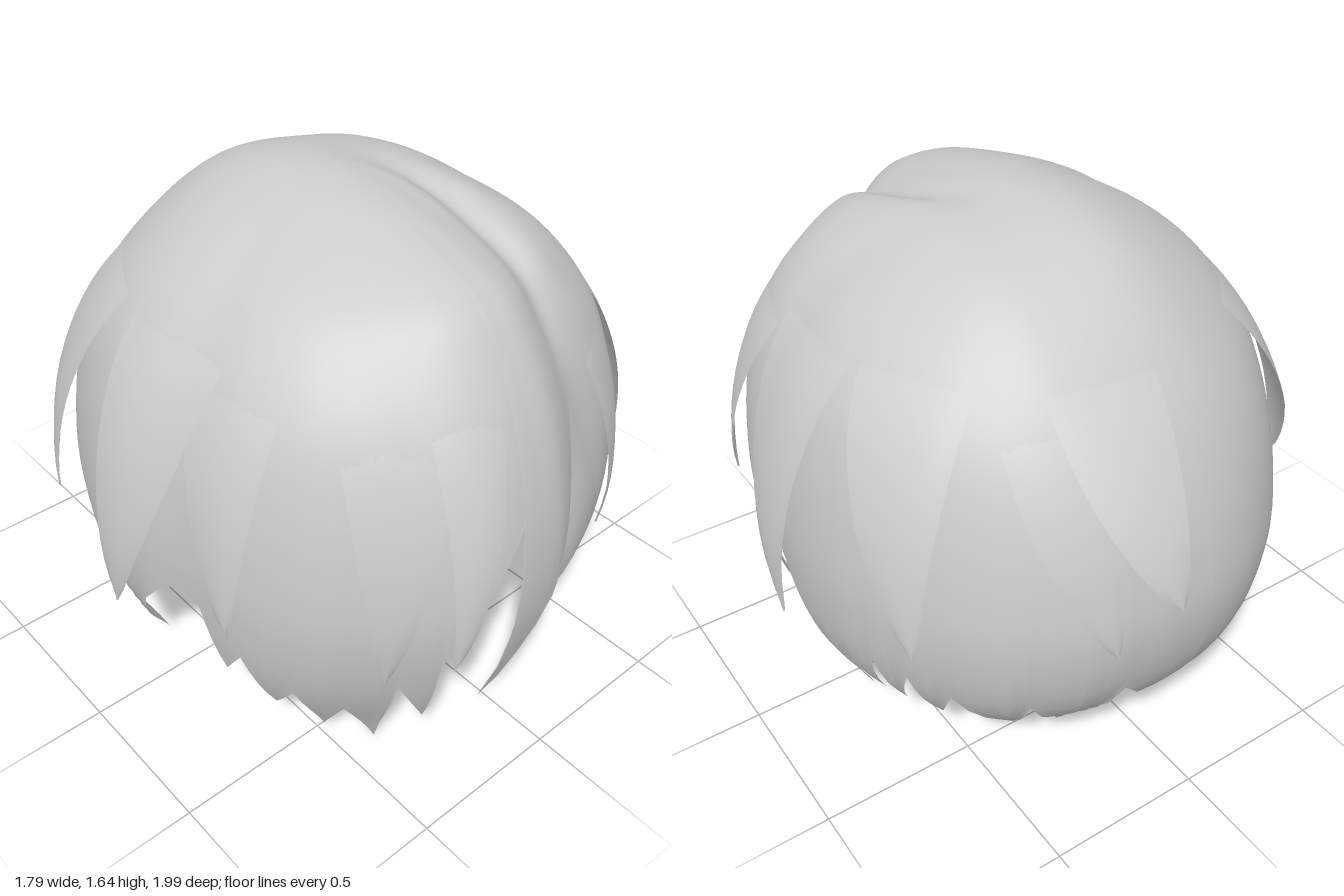
import * as THREE from 'three';

const TOP = 1.62;
const mat = new THREE.MeshStandardMaterial({ color: 0xcccccc, side: THREE.DoubleSide });
const curve = (v) => new THREE.SplineCurve(v.map((r, i) => new THREE.Vector2(i, r)));

// Dome: relative radius from crown (q = 0) down to y = 0 (q = 1)
const frontProfile = curve([0, 0.21, 0.44, 0.68, 0.8, 0.895, 0.96, 1, 1, 0.93, 0.81]);
const sideProfile = curve([0, 0.23, 0.43, 0.61, 0.765, 0.88, 0.95, 0.99, 1, 0.95, 0.77]);
const backProfile = curve([0, 0.22, 0.4, 0.55, 0.69, 0.82, 0.915, 0.98, 1, 0.91, 0.63]);
// Largest radius every 15 degrees, from the front (+z) towards the left (+x)
const outline = curve([0.96, 0.87, 0.89, 0.9, 0.86, 0.81, 0.81, 0.82, 0.84, 0.88, 0.91, 0.92, 0.92,
  0.92, 0.9, 0.87, 0.84, 0.82, 0.81, 0.805, 0.86, 0.91, 0.94, 0.98, 0.96]);

const toQ = (y) => Math.sqrt(Math.max(0, (TOP - y) / TOP));

// Point on the head of hair at azimuth (degrees), depth q, pushed outwards by lift
function surface(az, q, lift = 0) {
  const a = THREE.MathUtils.degToRad(az), c = Math.cos(a);
  const end = (c > 0 ? frontProfile : backProfile).getPoint(q).y;
  const rel = THREE.MathUtils.lerp(sideProfile.getPoint(q).y, end, c * c);
  const turn = (((az % 360) + 360) % 360) / 360;
  const r = rel * outline.getPoint(turn).y + lift;
  const p = new THREE.Vector3(r * Math.sin(a), TOP * (1 - q * q), r * c);
  // swell beside the parting, and the parting groove itself
  const high = THREE.MathUtils.smoothstep(p.y, 1.1, 1.55);
  p.y += 0.035 * high * Math.exp(-(((p.x + 0.08) / 0.22) ** 2));
  p.y += 0.015 * high * Math.exp(-(((p.x - 0.3) / 0.12) ** 2)) + lift * 0.4 * high;
  const along = THREE.MathUtils.smoothstep(p.z, -0.1, 0.3);
  const part = 0.13 + 0.06 * along;
  p.y -= 0.035 * high * along * Math.exp(-(((p.x - part) / 0.05) ** 2));
  return p;
}

// Grid of (cols + 1) x (rows + 1) points, optionally closed around
function grid(name, cols, rows, closed, fn) {
  const pos = [], idx = [], n = closed ? cols : cols + 1;
  for (let i = 0; i < n; i++) {
    for (let j = 0; j <= rows; j++) pos.push(...fn(i, j / rows).toArray());
  }
  for (let i = 0; i < cols; i++) {
    for (let j = 0; j < rows; j++) {
      const a = i * (rows + 1) + j, b = ((i + 1) % n) * (rows + 1) + j;
      idx.push(a, a + 1, b, b, a + 1, b + 1);
    }
  }
  const g = new THREE.BufferGeometry();
  g.setAttribute('position', new THREE.Float32BufferAttribute(pos, 3));
  g.setIndex(idx);
  g.computeVertexNormals();
  const mesh = new THREE.Mesh(g, mat);
  mesh.name = name;
  return mesh;
}

// Jagged hem: [azimuth, height, sideways sweep of the tip]
const hem = [
  // left fringe and temple
  [14, 1.12], [20, 0.88], [27, 0.66], [32, 0.4], [34, 0.01, -7], [40, 0.22], [44, 0.09, -2],
  [48, 0.28], [53, 0.1, -3], [58, 0.36], [65, 0.18],
  // left ear opening and sideburn
  [70, 0.54], [77, 0.58], [83, 0.5], [90, 0.37], [96, 0.2], [101, 0.05], [106, 0.28],
  [112, 0.17], [115, 0.4], [119, 0.17], [124, 0.4], [129, 0.16], [134, 0.37],
  // nape
  [144, 0.08, 3], [150, 0.37], [159, 0.01, 2], [169, 0.4], [185, 0.03, 3], [190, 0.33],
  [197, 0.07, 3], [204, 0.36], [213, 0.12], [219, 0.4], [226, 0.16], [231, 0.38],
  // right sideburn and ear opening
  [238, 0.15], [244, 0.4], [249, 0.17], [254, 0.28], [259, 0.06], [265, 0.22], [271, 0.4],
  [277, 0.5], [283, 0.57], [290, 0.55],
  // right temple and fringe
  [295, 0.3], [300, 0.42], [306, 0.18], [311, 0.32], [317, 0.08], [321, 0.26], [325, 0.01, 4],
  [331, 0.4], [335, 0.17, 3], [338, 0.5], [344, 0.72], [352, 0.95], [354, 0.2, -4],
  [361, 0.6], [368, 0.9],
];
const STEPS = 4;

function hemAt(i) {
  const k = Math.floor(i / STEPS), f = (i % STEPS) / STEPS;
  const a = hem[k], b = k + 1 < hem.length ? hem[k + 1] : [374, 1.12];
  const mix = (n) => THREE.MathUtils.lerp(a[n] || 0, b[n] || 0, f);
  return [mix(0), mix(1), mix(2)];
}

// Loose overlapping locks: [azimuth, top, tip height, half width, sweep, lift at the tip]
const locks = [
  [86, 1.5, 0.45, 22, 7, 0.065], [-84, 1.5, 0.44, 22, -6, 0.07], // sides
  [168, 1.45, 0.78, 18, 6, 0.09], [156, 1.45, 0.6, 17, 9, 0.01], // back
  [122, 1.5, 0.6, 20, 7, 0.06], [-124, 1.5, 0.6, 20, 7, 0.065], // behind the ears
  [-64, 1.45, 0.56, 16, 3, 0.03], [56, 1.45, 0.57, 16, -4, 0.04], // temples
  [-17, 1.45, 0.52, 9, -4, 0.025], [-30, 1.45, 0.45, 14, -2, 0.005], // right fringe
  [32, 1.45, 0.45, 11, 3, 0.005], // left fringe
];

// Tapering lock that stays under the shell near its root and rises out of it towards the tip
function makeLock([az, top, tip, width, sweep, lift]) {
  const q0 = toQ(top), q1 = toQ(tip), cols = 8;
  return grid('lock', cols, 20, false, (i, t) => {
    const w = (i / cols) * 2 - 1;
    const half = width * Math.pow(1 - t, 0.75);
    const rise = THREE.MathUtils.smoothstep(t, 0, 0.8);
    const off = -0.014 + 0.026 * rise + lift * THREE.MathUtils.smoothstep(t, 0.1, 1);
    const crown = 0.006 * (1 - w * w) * t;
    return surface(az + w * half + sweep * t ** 3, q0 + (q1 - q0) * t, off + crown);
  });
}

export function createModel() {
  const hair = new THREE.Group();
  hair.name = 'hair';
  // main shell from crown to hem
  hair.add(grid('hairShell', hem.length * STEPS, 36, true, (i, t) => {
    const [az, y, sweep] = hemAt(i);
    return surface(az + sweep * t ** 5, toQ(y) * t);
  }));
  // layered locks
  const layer = new THREE.Group();
  layer.name = 'looseLocks';
  locks.forEach((l) => layer.add(makeLock(l)));
  hair.add(layer);
  return hair;
}
